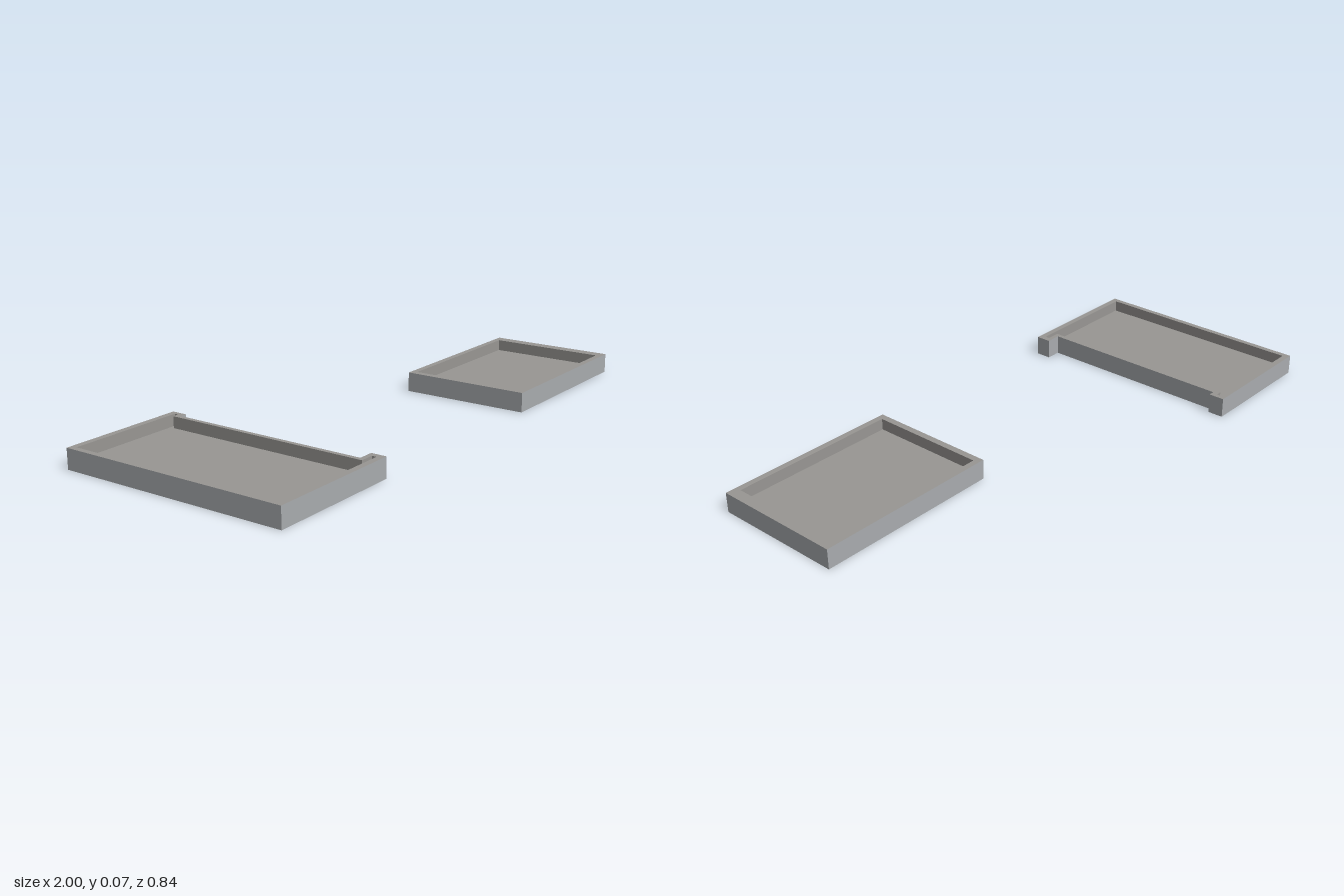
import * as THREE from 'three';

const HEIGHT = 0.071, FLOOR = 0.03;

// Plan points are [x, z], listed clockwise as seen from above
const rect = (x0, x1, z0, z1) => [[x0, z0], [x1, z0], [x1, z1], [x0, z1]];

// Flat horizontal face at height y, looking up (dir 1) or down (dir -1)
function face(outline, hole, y, dir) {
  const plan = (points) => points.map(([x, z]) => new THREE.Vector2(x, -dir * z));
  const shape = new THREE.Shape(plan(outline));
  if (hole) shape.holes.push(new THREE.Path(plan(hole)));
  return new THREE.ShapeGeometry(shape).rotateX(-dir * Math.PI / 2).translate(0, y, 0);
}

// Upright wall along a closed loop, looking out of the loop
function wall(points, y0, y1) {
  const positions = [];
  points.forEach(([px, pz], i) => {
    const [qx, qz] = points[(i + 1) % points.length];
    positions.push(px, y0, pz, px, y1, pz, qx, y1, qz);
    positions.push(px, y0, pz, qx, y1, qz, qx, y0, qz);
  });
  const geometry = new THREE.BufferGeometry();
  geometry.setAttribute('position', new THREE.Float32BufferAttribute(positions, 3));
  geometry.computeVertexNormals();
  return geometry;
}

// A shallow tray: cool outer shell, warm rim and cavity
function tray(name, outline, cavity, shell, lining) {
  const group = new THREE.Group();
  group.name = name;
  const add = (part, geometry, material) => {
    const mesh = new THREE.Mesh(geometry, material);
    mesh.name = part;
    group.add(mesh);
  };
  add('underside', face(outline, null, 0, -1), shell);
  add('outerWall', wall(outline, 0, HEIGHT), shell);
  add('rim', face(outline, cavity, HEIGHT, 1), lining);
  add('innerWall', wall([...cavity].reverse(), FLOOR, HEIGHT), lining);
  add('floor', face(cavity, null, FLOOR, 1), lining);
  return group;
}

function flatColour(name, color) {
  const material = new THREE.MeshStandardMaterial({ color });
  material.name = name;
  return material;
}

export function createModel() {
  const shell = flatColour('coolGrey', 0xa9acaf);
  const lining = flatColour('warmGrey', 0x999794);
  const model = new THREE.Group();
  model.name = 'trays';

  // Long tray with a small tab at each end of its inner side
  const tabbedOutline = [
    [-1, -0.419], [-0.537, -0.419], [-0.537, -0.362], [-0.56, -0.362],
    [-0.56, 0.363], [-0.505, 0.363], [-0.505, 0.419], [-1, 0.419],
  ];
  // The cavity runs a little way into both tabs
  const tabbedCavity = [
    [-0.98, -0.397], [-0.553, -0.397], [-0.553, -0.382], [-0.576, -0.382],
    [-0.576, 0.38], [-0.526, 0.38], [-0.526, 0.397], [-0.98, 0.397],
  ];
  model.add(tray('tabbedTray', tabbedOutline, tabbedCavity, shell, lining));

  // Plain tray with a wider wall on its outer side
  const plainOutline = rect(0.328, 1, -0.056, 0.419);
  const plainCavity = rect(0.352, 0.96, -0.034, 0.397);
  model.add(tray('plainTray', plainOutline, plainCavity, shell, lining));

  return model;
}
